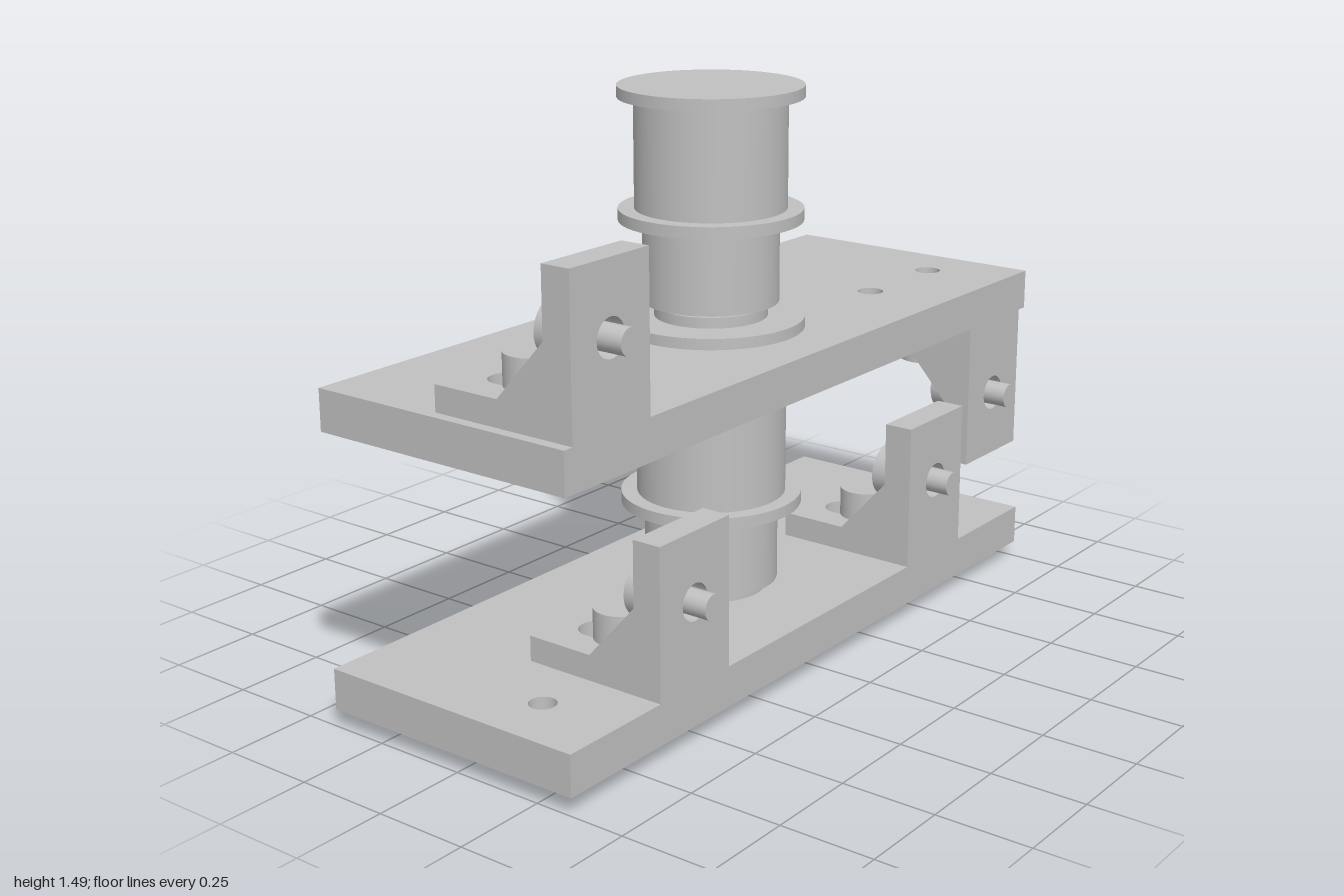
import * as THREE from 'three';

export function createModel() {
  const model = new THREE.Group();
  const grey = new THREE.MeshStandardMaterial({ color: 0xc0c0c0, side: THREE.DoubleSide });
  grey.name = 'plain grey';

  const add = (parent, name, geometry, x = 0, y = 0, z = 0) => {
    const mesh = new THREE.Mesh(geometry, grey);
    mesh.name = name;
    mesh.position.set(x, y, z);
    parent.add(mesh);
    return mesh;
  };
  const rect = (x0, y0, x1, y1) => new THREE.Shape([[x0, y0], [x1, y0], [x1, y1], [x0, y1]].map(p => new THREE.Vector2(...p)));
  const circle = (x, y, r) => new THREE.Path().absarc(x, y, r, 0, Math.PI * 2, true);
  const extrude = (shape, depth) => new THREE.ExtrudeGeometry(shape, { depth, bevelEnabled: false, curveSegments: 24 });
  // Shapes for flat parts use (x, -z) and grow upwards
  const slab = (shape, height) => extrude(shape, height).rotateX(-Math.PI / 2);

  // Two drilled plates
  const holeXs = [-0.838, -0.543, 0.538, 0.836], boltZ = 0.128;
  const plateShape = rect(-1, -0.353, 1, 0.405);
  holeXs.forEach(x => plateShape.holes.push(circle(x, -boltZ, 0.035)));
  add(model, 'lowerPlate', slab(plateShape, 0.108), 0, 0.045);
  add(model, 'upperPlate', slab(plateShape, 0.108), 0, 0.76);

  // Central column, as rings of [bottom, top, radius]
  const column = new THREE.Group();
  column.name = 'column';
  column.position.z = -0.012;
  model.add(column);
  const ring = (name, y0, y1, r) => add(column, name, new THREE.CylinderGeometry(r, r, y1 - y0, 64), 0, (y0 + y1) / 2);
  ring('shaftEnd', 0, 0.03, 0.107);
  ring('lowerBearingFlange', 0.017, 0.045, 0.243);
  ring('upperBearingFlange', 0.868, 0.897, 0.243);
  ring('upperBearingCollar', 0.897, 0.925, 0.147);
  ring('lowerCollar', 0.153, 0.178, 0.147);
  ring('middleCollar', 0.735, 0.76, 0.147);

  // Hub wall with two screw holes, bent around the shaft
  const R = 0.176, HUB = 0.212, HOLE = 0.036;
  const holePatch = bore => {
    const g = new THREE.PlaneGeometry(1, 1, 48, bore ? 1 : 10);
    const p = g.attributes.position, n = g.attributes.normal;
    for (let i = 0; i < p.count; i++) {
      const t = -2 * Math.PI * (p.getX(i) + 0.5), v = p.getY(i) + 0.5;
      const c = Math.cos(t), s = Math.sin(t), m = Math.max(Math.abs(c), Math.abs(s));
      if (bore) {
        const x = HOLE * c;
        p.setXYZ(i, x, HOLE * s, THREE.MathUtils.lerp(0.095, Math.sqrt(R * R - x * x), v));
        n.setXYZ(i, -c, -s, 0);
      } else {
        const edge = Math.asin(HOLE * c / R);
        const a = THREE.MathUtils.lerp(edge, Math.PI / 4 * c / m, v);
        p.setXYZ(i, R * Math.sin(a), THREE.MathUtils.lerp(HOLE * s, HUB / 2 * s / m, v), R * Math.cos(a));
        n.setXYZ(i, Math.sin(a), 0, Math.cos(a));
      }
    }
    // Bore faces look inwards, so reverse their corners
    if (bore) g.setIndex(Array.from(g.index.array).reverse());
    return g;
  };

  const spool = (name, y) => {
    const top = y + HUB, mid = y + HUB / 2;
    add(column, name + 'HubWall', new THREE.CylinderGeometry(R, R, HUB, 32, 1, true, Math.PI * 1.25, Math.PI), 0, mid);
    add(column, name + 'HubBase', new THREE.CircleGeometry(R, 64).rotateX(Math.PI / 2), 0, y);
    for (const turn of [Math.PI / 2, Math.PI]) {
      add(column, name + 'HubHoleWall', holePatch(false), 0, mid).rotation.y = turn;
      add(column, name + 'HubHoleBore', holePatch(true), 0, mid).rotation.y = turn;
    }
    ring(name + 'Shaft', y - 0.02, top, 0.1);
    ring(name + 'BottomFlange', top, top + 0.031, 0.238);
    ring(name + 'Drum', top + 0.031, top + 0.315, 0.196);
    ring(name + 'TopFlange', top + 0.315, top + 0.345, 0.238);
  };
  spool('lowerSpool', 0.178);
  spool('upperSpool', 0.936);

  // Bolt with its head above the origin and shank below
  const bolt = (parent, name, y, z) => {
    const g = new THREE.Group();
    g.name = name;
    g.position.set(0, y, z);
    add(g, 'boltHead', new THREE.CylinderGeometry(0.072, 0.072, 0.081, 40), 0, 0.0405);
    add(g, 'boltShank', new THREE.CylinderGeometry(0.033, 0.033, 0.134, 32), 0, -0.067);
    parent.add(g);
    return g;
  };

  // Gusseted angle bracket standing on y = 0
  const HALF = 0.1335, BASE = 0.067, WALL_Z = 0.274;
  const bracket = (name, x, y, hanging) => {
    const g = new THREE.Group();
    g.name = name;
    g.position.set(x, y, 0);
    if (hanging) g.rotation.z = Math.PI;
    model.add(g);

    const wall = rect(-HALF, 0, HALF, 0.394);
    wall.holes.push(circle(0, 0.214, 0.048));
    add(g, 'bracketWall', extrude(wall, 0.353 - WALL_Z), 0, 0, WALL_Z);

    const base = rect(-HALF, -WALL_Z, HALF, 0.054);
    const slot = new THREE.Path();
    slot.absarc(0, -0.05, 0.049, 0, Math.PI, false);
    slot.absarc(0, -0.15, 0.049, Math.PI, Math.PI * 2, false);
    base.holes.push(slot);
    add(g, 'bracketBase', slab(base, BASE));

    const gusset = new THREE.Shape([[-WALL_Z, BASE], [-0.135, BASE], [-WALL_Z, 0.222]].map(p => new THREE.Vector2(...p)));
    const gussetGeometry = extrude(gusset, 0.05).rotateY(Math.PI / 2);
    for (const gx of [-HALF, HALF - 0.05]) add(g, 'bracketGusset', gussetGeometry, gx);

    bolt(g, 'baseBolt', BASE, boltZ);
    bolt(g, 'wallBolt', 0.214, WALL_Z).rotation.x = -Math.PI / 2;
  };
  bracket('upperBracket', holeXs[0], 0.868, false);
  bracket('lowerRightBracket', holeXs[1], 0.153, false);
  bracket('lowerLeftBracket', holeXs[2], 0.153, false);
  bracket('hangingBracket', holeXs[3], 0.76, true);

  return model;
}
